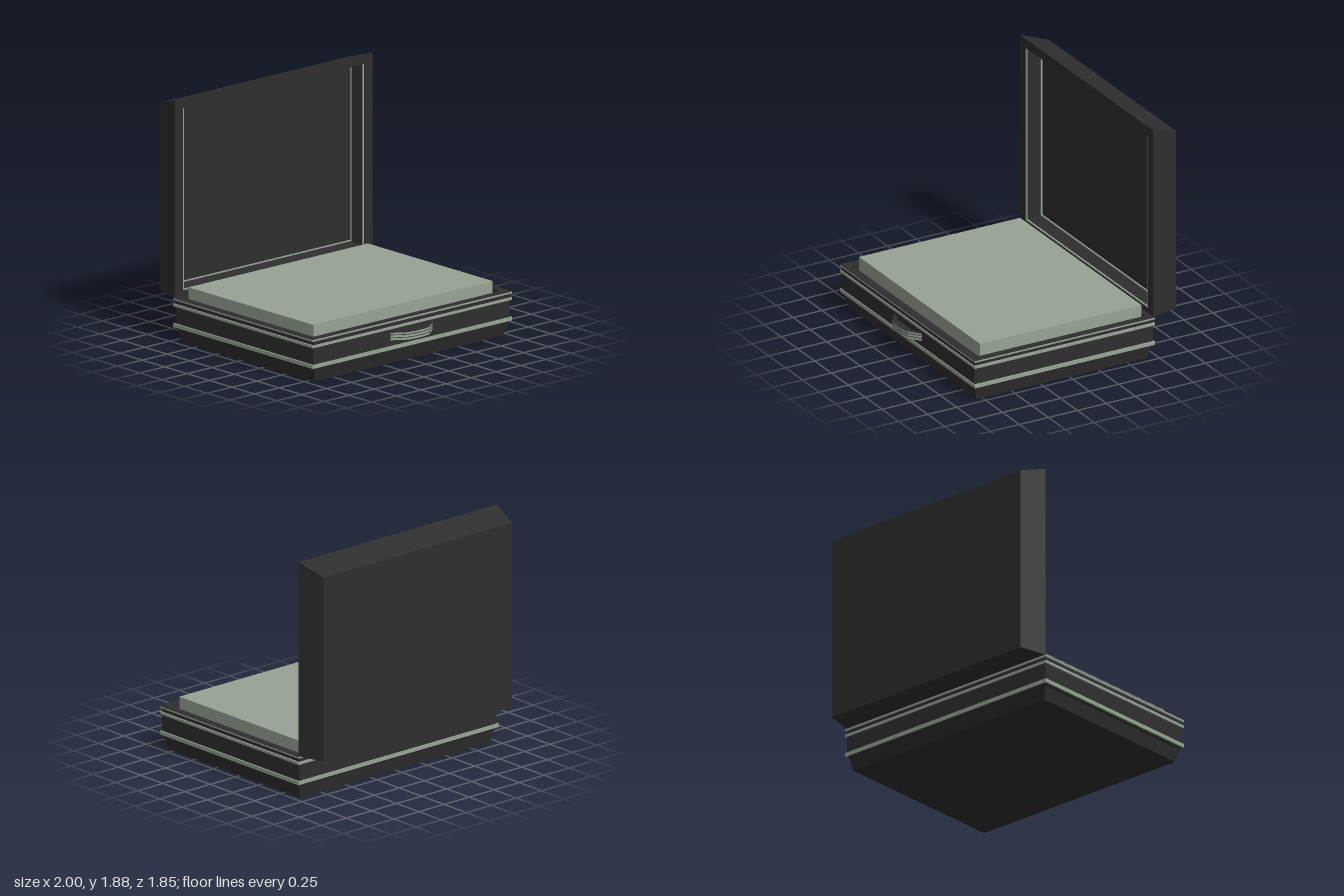
import * as THREE from 'three';

// Rectangular loft along z. Each section: [z, halfWidth, yMin, yMax].
function loft(sections, caps = true) {
  const pos = [];
  const rings = sections.map(([t, x, a, b]) => [[-x, a, t], [x, a, t], [x, b, t], [-x, b, t]]);
  const quad = (a, b, c, d) => pos.push(...a, ...b, ...c, ...a, ...c, ...d);
  for (let k = 0; k < rings.length - 1; k++) {
    for (let i = 0; i < 4; i++) {
      const j = (i + 1) % 4;
      quad(rings[k][i], rings[k][j], rings[k + 1][j], rings[k + 1][i]);
    }
  }
  if (caps) {
    const s = rings[0], e = rings[rings.length - 1];
    quad(s[3], s[2], s[1], s[0]);
    quad(e[0], e[1], e[2], e[3]);
  }
  const g = new THREE.BufferGeometry();
  g.setAttribute('position', new THREE.Float32BufferAttribute(pos, 3));
  g.computeVertexNormals();
  return g;
}

// The same loft standing upright. Each section: [y, halfWidth, zBack, zFront].
function loftUp(sections, caps = true) {
  return loft(sections.map(([y, x, z0, z1]) => [y, x, -z1, -z0]), caps).rotateX(-Math.PI / 2);
}

// Flat rectangular band around the base.
function band(y0, y1, inner, outer) {
  return loftUp([[y0, ...inner], [y0, ...outer], [y1, ...outer], [y1, ...inner]], false);
}

export function createModel() {
  const model = new THREE.Group();
  const dark = new THREE.MeshStandardMaterial({ color: 0x2e2e2e });
  dark.name = 'charcoal';
  const green = new THREE.MeshStandardMaterial({ color: 0x97a395 });
  green.name = 'greyGreen';
  const add = (name, geometry, material, parent = model) => {
    const mesh = new THREE.Mesh(geometry, material);
    mesh.name = name;
    parent.add(mesh);
    return mesh;
  };

  // Base shell with tapered foot and shallow tray
  add('baseShell', loftUp([
    [0, 0.95, -0.67, 0.80],
    [0.10, 0.973, -0.69, 0.832],
    [0.12, 0.987, -0.70, 0.838],
    [0.342, 0.987, -0.70, 0.838],
    [0.342, 0.94, -0.66, 0.785],
    [0.31, 0.94, -0.66, 0.785],
  ]), dark);

  // Trim bands and dark rim
  const outer = [1, -0.71, 0.845];
  const inner = [0.96, -0.68, 0.81];
  add('lowerTrim', band(0.118, 0.147, inner, outer), green);
  add('middleTrim', band(0.278, 0.298, inner, outer), green);
  add('upperTrim', band(0.328, 0.342, inner, outer), green);
  add('rim', band(0.342, 0.345, [0.94, -0.66, 0.785], outer), dark);

  // Raised panel in the tray
  const panel = new THREE.BoxGeometry(1.8, 0.11, 1.39);
  panel.translate(0, 0.365, 0.045);
  add('panel', panel, green);

  // Open lid: tapered shell with recessed inside
  add('lid', loft([
    [-0.925, 0.94, 0.345, 1.80],
    [-0.70, 0.99, 0.345, 1.875],
    [-0.70, 0.91, 0.385, 1.80],
    [-0.83, 0.885, 0.405, 1.765],
  ]), dark);

  // Thin piping at the opening and at the floor of the lid
  const piping = new THREE.Group();
  piping.name = 'lidPiping';
  model.add(piping);
  for (const [x, y0, y1, z] of [[0.904, 0.39, 1.795, -0.709], [0.885, 0.41, 1.76, -0.825]]) {
    for (const side of [-1, 1]) {
      const strip = new THREE.BoxGeometry(0.008, y1 - y0, 0.012);
      strip.translate(side * x, (y0 + y1) / 2, z);
      add('sidePiping', strip, green, piping);
    }
    const strip = new THREE.BoxGeometry(2 * x, 0.008, 0.012);
    strip.translate(0, y0, z);
    add('bottomPiping', strip, green, piping);
  }

  // Bowed carrying handle in stacked layers
  const handle = new THREE.Group();
  handle.name = 'handle';
  model.add(handle);
  const outline = [
    [-0.22, 0.835], [-0.11, 0.908], [-0.05, 0.922], [0.05, 0.922], [0.11, 0.908], [0.21, 0.835],
    [0.17, 0.835], [0.10, 0.872], [-0.10, 0.872], [-0.17, 0.835],
  ];
  const shape = new THREE.Shape(outline.map(([x, z]) => new THREE.Vector2(x, -z)));
  const layers = [
    [0.188, 0.191, dark], [0.191, 0.208, green], [0.208, 0.213, dark],
    [0.213, 0.230, green], [0.230, 0.235, dark], [0.235, 0.249, green], [0.249, 0.252, dark],
  ];
  for (const [y0, y1, material] of layers) {
    const layer = new THREE.ExtrudeGeometry(shape, { depth: y1 - y0, bevelEnabled: false });
    layer.rotateX(-Math.PI / 2).translate(0, y0, 0);
    add('handleLayer', layer, material, handle);
  }

  return model;
}
